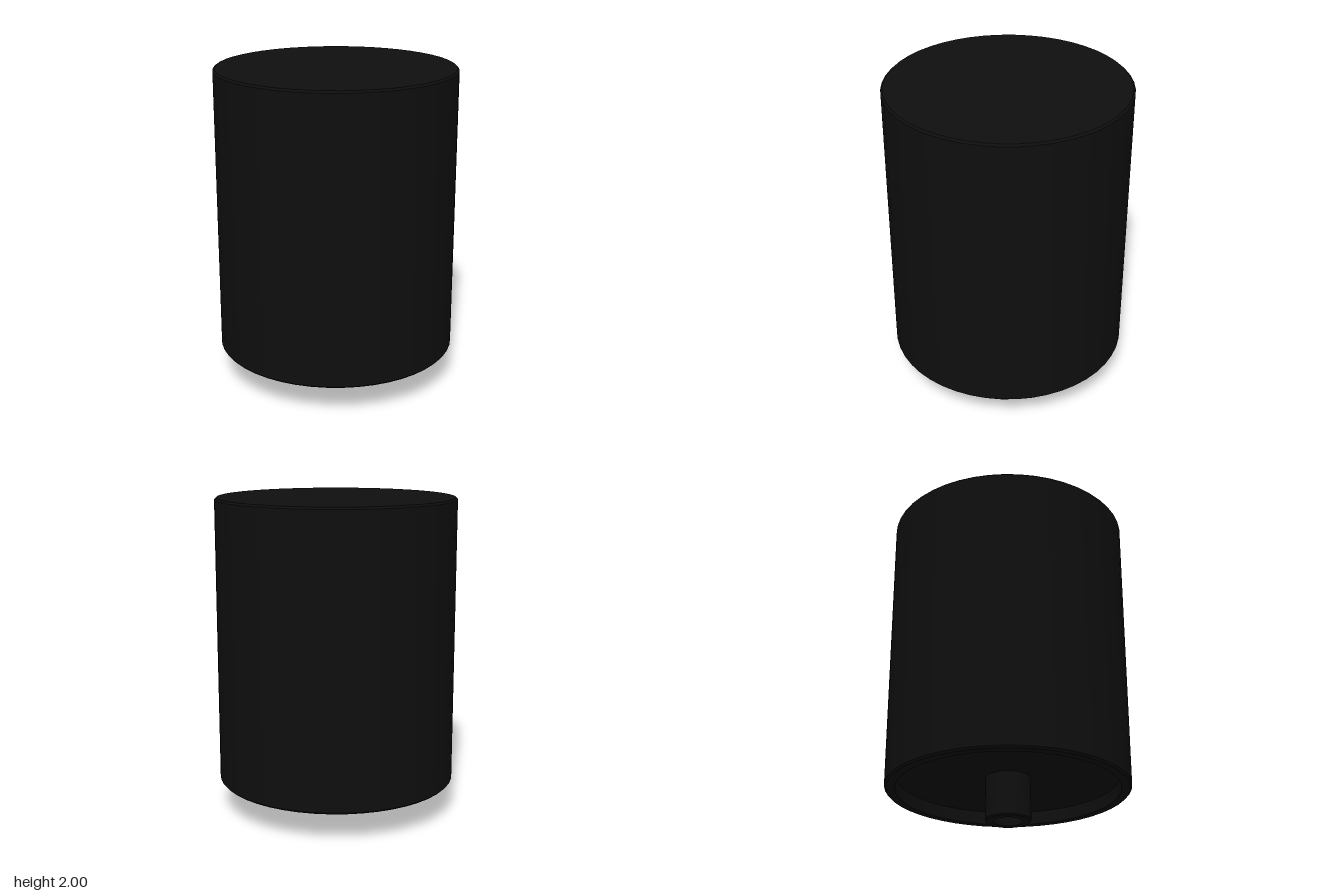
import * as THREE from 'three';
import { toCreasedNormals } from 'three/addons/utils/BufferGeometryUtils.js';

const SEGMENTS = 48;

// Closed turned part from [radius, height] pairs, listed bottom to top on the outside
function turned(name, profile, material) {
  const points = profile.map(([r, y]) => new THREE.Vector2(r, y));
  const mesh = new THREE.Mesh(toCreasedNormals(new THREE.LatheGeometry(points, SEGMENTS), 0.6), material);
  mesh.name = name;
  return mesh;
}

export function createModel() {
  const group = new THREE.Group();
  group.name = 'cylinderKnob';
  const black = new THREE.MeshStandardMaterial({ color: 0x0e0e0e });

  const R = 0.755, bottom = 0.19, top = 2, bevel = 0.012;
  const recessR = 0.69, recessY = 0.275;

  // Solid drum with a shallow recess underneath and small bevelled rims
  group.add(turned('drum', [
    [0, recessY], [recessR, recessY], [recessR, bottom],
    [R - bevel, bottom], [R, bottom + bevel],
    [R, top - bevel], [R - bevel, top], [0, top],
  ], black));

  // Stem hanging from the recess, with a blind bore in its end
  const stemR = 0.14, boreR = 0.088, boreY = 0.24;
  group.add(turned('stem', [
    [0, boreY], [boreR, boreY], [boreR, 0],
    [stemR - 0.008, 0], [stemR, 0.008], [stemR, recessY],
  ], black));

  return group;
}
